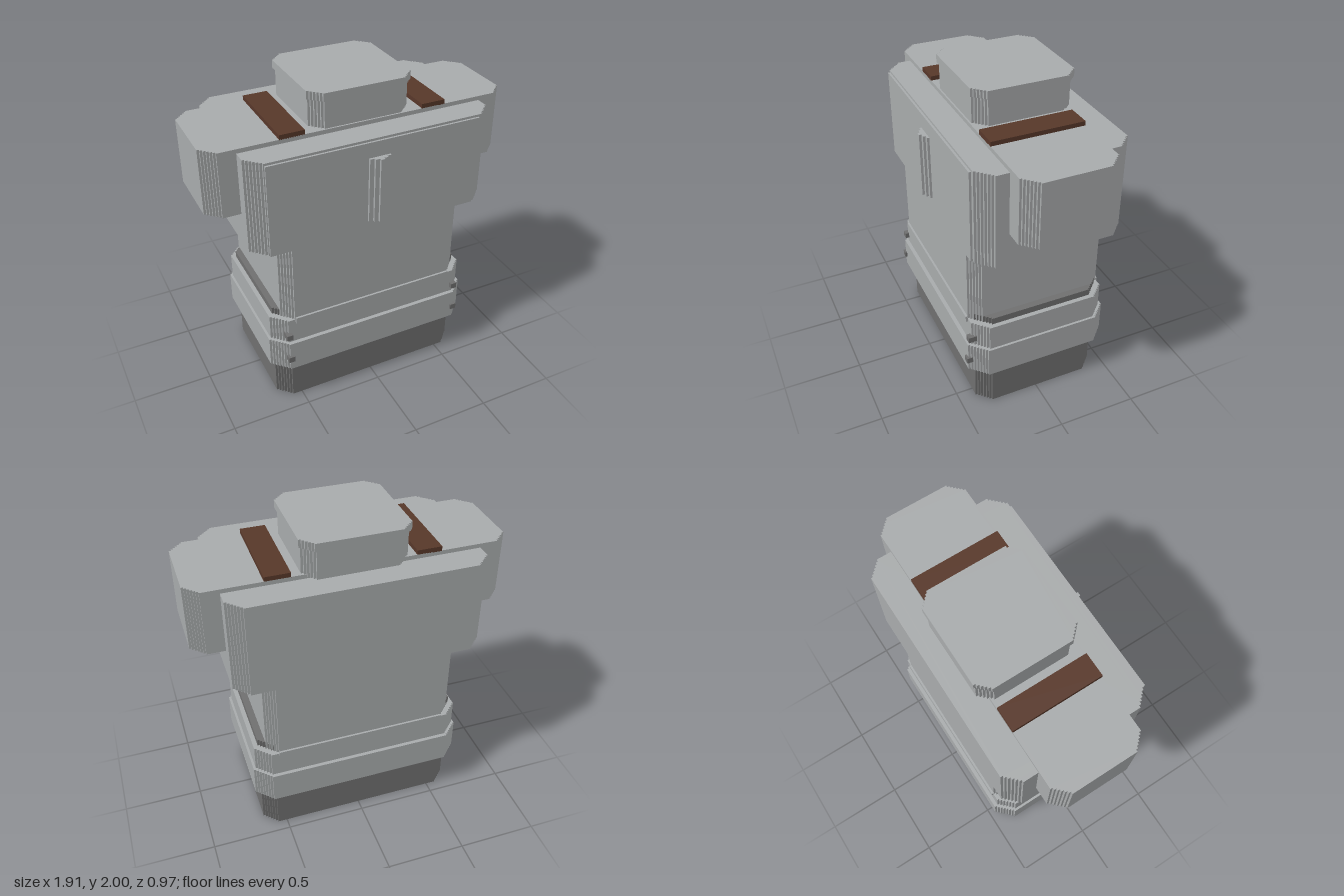
import * as THREE from 'three';

const grey = new THREE.MeshStandardMaterial({ name: 'light grey', color: 0xa9acad });
const dark = new THREE.MeshStandardMaterial({ name: 'dark grey', color: 0x707070 });
const brown = new THREE.MeshStandardMaterial({ name: 'brown', color: 0x58382a });

const STEP = 0.0137; // size of one stair on a stepped corner

// Footprint rectangle whose four corners are cut by fine stairs.
function steppedOutline(x0, x1, z0, z1, cut) {
  const n = Math.max(1, Math.round(cut / STEP));
  const s = cut / n;
  const hx = (x1 - x0) / 2, hz = (z1 - z0) / 2;
  const cx = (x0 + x1) / 2, cz = (z0 + z1) / 2;
  // stairs of the (+,+) corner, from the side edge to the end edge
  const corner = [];
  for (let i = 0; i <= n; i++) {
    corner.push([hx - i * s, hz - cut + i * s]);
    if (i < n) corner.push([hx - i * s, hz - cut + (i + 1) * s]);
  }
  const points = [];
  for (const [sx, sy] of [[1, 1], [-1, 1], [-1, -1], [1, -1]]) {
    const run = sx * sy > 0 ? corner : [...corner].reverse();
    for (const [x, y] of run) points.push(new THREE.Vector2(cx + sx * x, -cz + sy * y));
  }
  return new THREE.Shape(points);
}

// Upright block with stepped corners.
function steppedBlock(name, material, [x0, x1], [y0, y1], [z0, z1], cut) {
  const geometry = new THREE.ExtrudeGeometry(steppedOutline(x0, x1, z0, z1, cut), {
    depth: y1 - y0, bevelEnabled: false,
  });
  geometry.rotateX(-Math.PI / 2).translate(0, y0, 0);
  const mesh = new THREE.Mesh(geometry, material);
  mesh.name = name;
  return mesh;
}

function box(name, material, [x0, x1], [y0, y1], [z0, z1]) {
  const mesh = new THREE.Mesh(new THREE.BoxGeometry(x1 - x0, y1 - y0, z1 - z0), material);
  mesh.position.set((x0 + x1) / 2, (y0 + y1) / 2, (z0 + z1) / 2);
  mesh.name = name;
  return mesh;
}

export function createModel() {
  const model = new THREE.Group();
  model.name = 'steppedDevice';

  // Dark foot, whose core shows again as a thin band above the collars
  model.add(
    steppedBlock('base', dark, [-0.643, 0.64], [0, 0.28], [-0.43, 0.39], 0.095),
    steppedBlock('darkBand', dark, [-0.643, 0.64], [0.6, 0.688], [-0.43, 0.39], 0.095),
  );

  // Collars and the strip wrapped front to back over the upper one
  model.add(
    steppedBlock('lowerCollar', grey, [-0.685, 0.683], [0.28, 0.48], [-0.483, 0.445], 0.11),
    steppedBlock('upperCollar', grey, [-0.67, 0.668], [0.48, 0.645], [-0.46, 0.42], 0.1),
    box('collarStrip', grey, [-0.535, 0.53], [0.62, 0.66], [-0.47, 0.433]),
  );

  // Middle column and the wide head
  model.add(
    steppedBlock('column', grey, [-0.605, 0.597], [0.64, 1.18], [-0.457, 0.42], 0.08),
    steppedBlock('head', grey, [-0.767, 0.763], [1.17, 1.757], [-0.485, 0.43], 0.1),
    box('headFrontPlate', grey, [-0.675, 0.653], [1.17, 1.743], [0.42, 0.443]),
  );

  // Cross arm through the head, with a brown strap on each side
  model.add(steppedBlock('crossArm', grey, [-0.957, 0.955], [1.378, 1.783], [-0.307, 0.263], 0.095));
  for (const side of [1, -1]) {
    const near = side * 0.37, far = side * 0.522;
    model.add(box('strap', brown, [Math.min(near, far), Math.max(near, far)], [1.78, 1.81], [-0.307, 0.263]));
  }

  // Neck and cap on top
  model.add(
    steppedBlock('neck', grey, [-0.317, 0.311], [1.77, 1.95], [-0.36, 0.253], 0.085),
    steppedBlock('cap', grey, [-0.328, 0.324], [1.95, 2], [-0.375, 0.264], 0.085),
  );

  // Stepped ridge on the front of the head
  [[0.067, 0.457], [0.04, 0.472], [0.013, 0.487]].forEach(([half, front]) => {
    model.add(box('frontRidge', grey, [-half, half], [1.237, 1.647], [0.43, front]));
  });

  // Small studs on the front of the collars
  for (const side of [1, -1]) {
    const x = side * 0.583;
    model.add(
      box('lowerStud', dark, [x - 0.02, x + 0.02], [0.347, 0.385], [0.42, 0.458]),
      box('upperStud', dark, [x - 0.02, x + 0.02], [0.513, 0.55], [0.39, 0.445]),
    );
  }

  return model;
}
